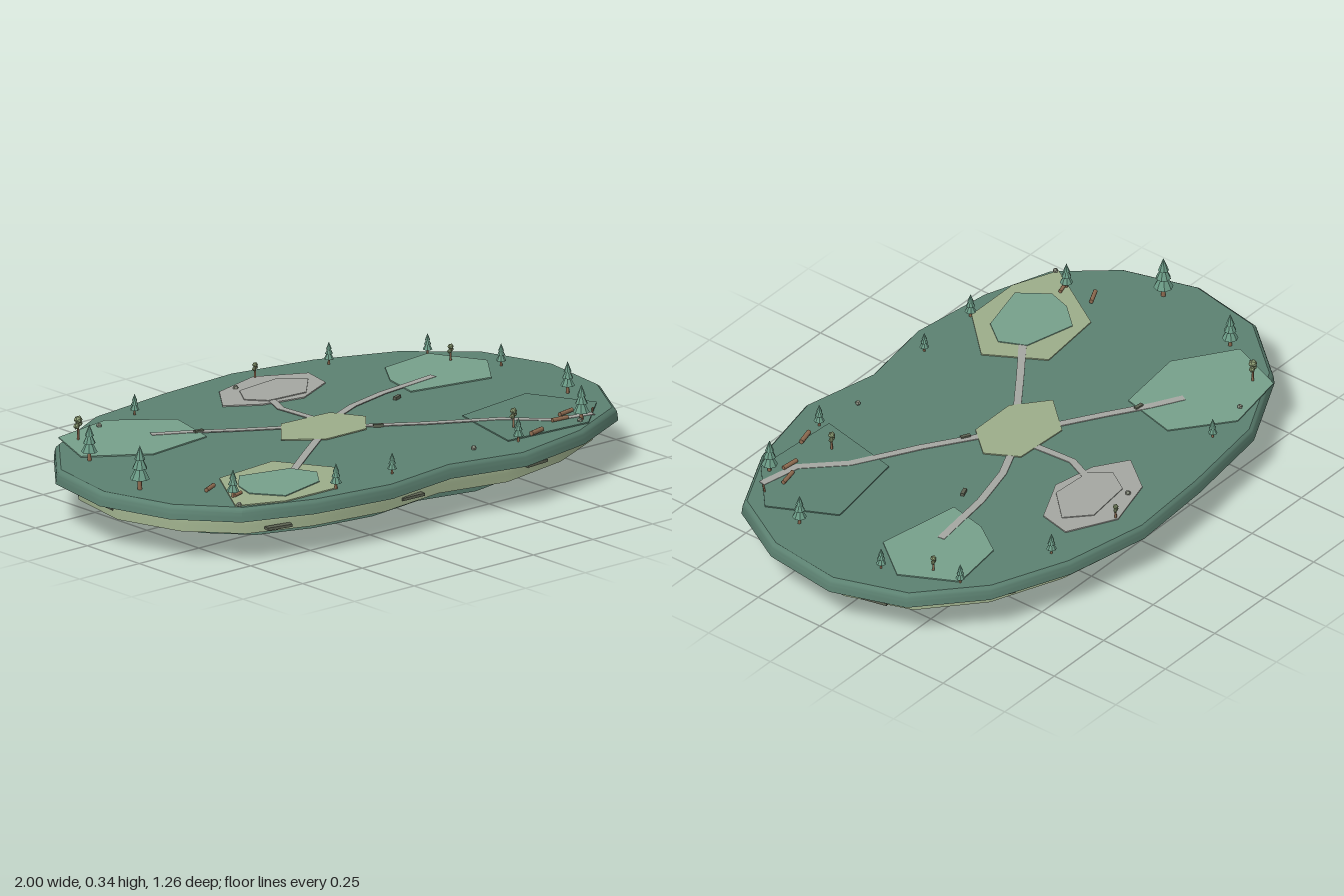
import * as THREE from 'three';
import { toCreasedNormals } from 'three/addons/utils/BufferGeometryUtils.js';

const mat = (color, opts = {}) => Object.assign(new THREE.MeshStandardMaterial(opts), { color: new THREE.Color(color) });
const MOSS = mat(0x5c8171), SAGE = mat(0x9cad8a), MEADOW = mat(0x76a08b), STONE = mat(0xa5a7a1);
const NEEDLE = mat(0x6a9a85, { flatShading: true }), LEAF = mat(0x8a9a72, { flatShading: true });
const WOOD = mat(0x8e6b50), DARK = mat(0x5d6353), ROCK = mat(0x868b7c, { flatShading: true });
const TOP = 0.19;

// Island coastline as [x, z]
const COAST = [[-1, .06], [-.925, .31], [-.775, .485], [-.54, .57], [-.25, .61], [.03, .57], [.295, .63],
  [.59, .57], [.835, .45], [.96, .23], [.995, -.035], [.91, -.28], [.71, -.46], [.445, -.57], [.145, -.63],
  [-.16, -.61], [-.49, -.565], [-.775, -.42], [-.95, -.21]];

function add(parent, name, geometry, material, x = 0, y = 0, z = 0) {
  const mesh = new THREE.Mesh(geometry, material);
  mesh.name = name;
  mesh.position.set(x, y, z);
  parent.add(mesh);
  return mesh;
}

// Upright slab from an [x, z] outline, bottom at y = 0
function slab(points, height, steps = 1) {
  const shape = new THREE.Shape(points.map(([x, z]) => new THREE.Vector2(x, -z)));
  return new THREE.ExtrudeGeometry(shape, { depth: height, bevelEnabled: false, steps }).rotateX(-Math.PI / 2);
}

// Terrace whose upper rim rounds inwards
function terrace(sx, sz, height, dx = 0) {
  const g = slab(COAST.map(([x, z]) => [x * sx, z * sz]), height, 6);
  const p = g.attributes.position;
  for (let i = 0; i < p.count; i++) {
    const t = p.getY(i) / height;
    const s = 1 - 0.006 * t - 0.014 * Math.max(0, t * 2 - 1) ** 3;
    p.setXYZ(i, p.getX(i) * s + dx, p.getY(i), p.getZ(i) * s);
  }
  g.computeVertexNormals();
  return toCreasedNormals(g, 0.6);
}

// Flat footpath following a list of [x, z] points
function path(points, width) {
  const left = [], right = [];
  points.forEach(([x, z], i) => {
    const a = points[Math.max(i - 1, 0)], b = points[Math.min(i + 1, points.length - 1)];
    const d = new THREE.Vector2(b[0] - a[0], b[1] - a[1]).setLength(width / 2);
    left.push([x - d.y, z + d.x]);
    right.unshift([x + d.y, z - d.x]);
  });
  return slab([...left, ...right], 0.003);
}

// Three-tier conifer
function conifer(x, z, h) {
  const tree = new THREE.Group();
  tree.name = 'conifer';
  tree.position.set(x, TOP, z);
  add(tree, 'trunk', new THREE.CylinderGeometry(h * .04, h * .055, h * .35, 6), WOOD, 0, h * .175, 0);
  [[.22, .42, .24], [.17, .36, .48], [.12, .32, .68]].forEach(([r, len, y], i) =>
    add(tree, 'foliage', new THREE.ConeGeometry(h * r, h * len, 8), NEEDLE, 0, h * (y + len / 2), 0).rotation.y = i * .4);
  return tree;
}

// Thin stem with a clumped crown
function sapling(x, z, h) {
  const tree = new THREE.Group();
  tree.name = 'sapling';
  tree.position.set(x, TOP, z);
  add(tree, 'stem', new THREE.CylinderGeometry(.003, .004, h * .75, 6), WOOD, 0, h * .375, 0);
  [[0, .82, 0, .17], [-.12, .6, .05, .13], [.12, .64, -.06, .12]].forEach(([cx, cy, cz, r]) =>
    add(tree, 'crown', new THREE.IcosahedronGeometry(h * r, 0), LEAF, h * cx, h * cy, h * cz));
  return tree;
}

export function createModel() {
  const model = new THREE.Group();
  model.name = 'island';

  // Stacked terraces, narrowing downwards
  [['bottomTerrace', .515, .475, 0, .038, STONE, -.01], ['lowerTerrace', .775, .735, .038, .045, MOSS, 0],
    ['middleTerrace', .92, .895, .083, .058, SAGE, 0], ['topTerrace', 1, 1, .145, .045, MOSS, 0]]
    .forEach(([name, sx, sz, y, h, m, dx]) => add(model, name, terrace(sx, sz, h, dx), m, 0, y, 0));

  // Ground patches
  const patches = [
    ['northWestMeadow', MEADOW, 0, [[-.72, -.46], [-.49, -.5], [-.31, -.36], [-.36, -.16], [-.61, -.13], [-.8, -.26]]],
    ['stoneField', STONE, 0, [[-.02, -.49], [.165, -.54], [.325, -.455], [.3, -.345], [.145, -.27], [-.005, -.3], [-.11, -.37]]],
    ['stoneFieldCentre', STONE, .003, [[.03, -.45], [.2, -.47], [.275, -.4], [.18, -.3], [.03, -.31], [-.02, -.37]]],
    ['eastMeadow', MEADOW, 0, [[.545, -.34], [.745, -.365], [.84, -.185], [.73, -.04], [.44, -.095], [.47, -.23]]],
    ['southEastGrove', MOSS, 0, [[.395, .205], [.7, .16], [.81, .375], [.65, .52], [.33, .5]]],
    ['southWestField', SAGE, 0, [[-.62, .2], [-.375, .175], [-.265, .36], [-.415, .52], [-.62, .52], [-.775, .455]]],
    ['southWestPond', MEADOW, .003, [[-.565, .23], [-.39, .275], [-.35, .36], [-.41, .44], [-.59, .485], [-.66, .39], [-.635, .31]]],
    ['centralClearing', SAGE, .002, [[-.21, .025], [-.1, -.1], [.095, -.09], [.155, .015], [.07, .115], [-.1, .115]]],
  ];
  patches.forEach(([name, m, lift, pts]) => add(model, name, slab(pts, .004), m, 0, TOP + lift, 0));

  // Footpaths out from the clearing
  [[[-.12, -.07], [-.25, -.15], [-.38, -.235], [-.48, -.29]],
    [[.02, -.09], [.01, -.23], [.05, -.32]],
    [[.09, -.05], [.2, -.1], [.36, -.14], [.6, -.17]],
    [[.07, .07], [.25, .19], [.46, .31], [.58, .43], [.72, .46]],
    [[-.11, .09], [-.25, .19], [-.4, .3]]]
    .forEach(pts => add(model, 'footpath', path(pts, .025), STONE, 0, TOP + .0025, 0));

  // Trees: x, z, height
  [[-.8, -.22, .12], [-.88, .115, .145], [-.72, .38, .095], [-.41, .52, .085], [-.17, .515, .07], [-.375, -.49, .07],
    [.44, -.49, .075], [.745, -.365, .07], [.84, -.12, .075], [.81, .235, .105], [.65, .485, .12], [.355, .52, .08]]
    .forEach(t => model.add(conifer(...t)));
  [[-.69, -.4, .085], [.165, -.53, .055], [.75, -.26, .06], [.435, .405, .07]].forEach(t => model.add(sapling(...t)));

  // Fallen logs: x, z, heading, length, radius
  [[-.725, .275, .45, .06, .007], [-.7, .38, .3, .04, .006], [.65, .41, .2, .065, .007],
    [.445, .505, .25, .06, .008], [.74, .435, .8, .035, .003], [.59, .45, -.1, .06, .007]]
    .forEach(([x, z, a, len, r]) => {
      add(model, 'log', new THREE.CylinderGeometry(r, r, len, 8).rotateZ(Math.PI / 2), WOOD, x, TOP + r + .004, z).rotation.y = a;
    });

  // Small wayside blocks
  [[-.35, -.21, -.1], [.12, .115, -.5], [.36, -.07, .35]].forEach(([x, z, a]) => {
    add(model, 'waysideBlock', new THREE.BoxGeometry(.032, .01, .012), DARK, x, TOP + .006, z).rotation.y = a;
  });

  // Scattered rocks
  [[-.55, -.46], [.04, -.48], [-.765, .46], [.635, .495], [.19, .495]].forEach(([x, z], i) => {
    add(model, 'rock', new THREE.DodecahedronGeometry(.009, 0), ROCK, x, TOP + .007, z).rotation.set(i, i * 2, 0);
  });

  // Ledges set into the rim of the middle terrace: x, z, heading, y
  [[.41, .54, .1, .113], [-.1, .53, -.03, .104], [-.62, .485, -.2, .1], [.83, .32, 1.05, .1], [.895, -.14, 1.8, .106],
    [.62, -.43, 2.6, .11], [.03, -.555, 3.1, .105], [-.6, -.435, 3.6, .105], [-.9, -.02, 4.6, .11]]
    .forEach(([x, z, a, y]) => {
      add(model, 'rimLedge', new THREE.BoxGeometry(.09, .009, .022), DARK, x, y, z).rotation.y = a;
    });

  return model;
}
